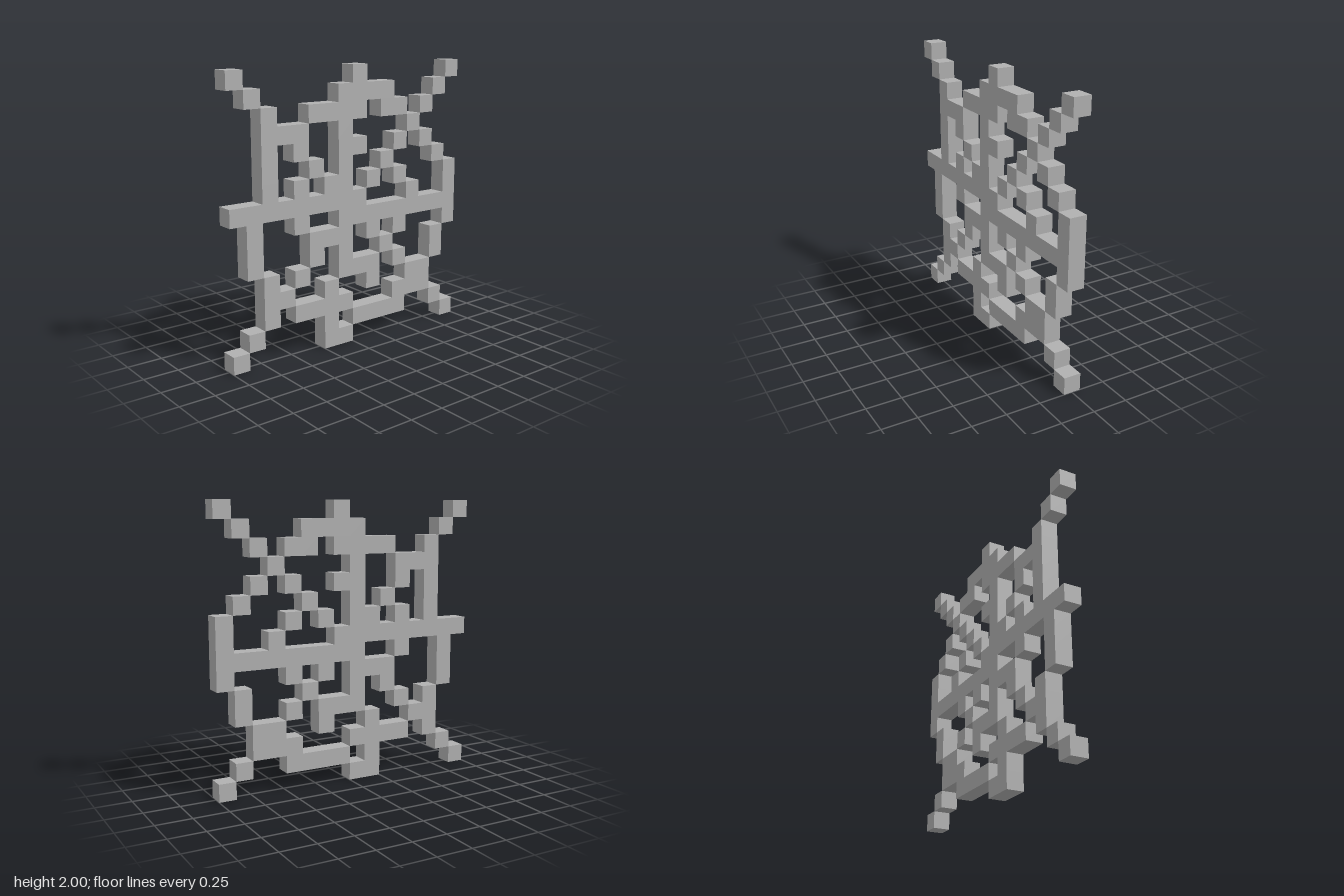
import * as THREE from 'three';
import { mergeGeometries } from 'three/addons/utils/BufferGeometryUtils.js';

// Cell map of the lattice, top row first, seen from the front
const ROWS = [
  '#.......#......#',
  '.#.....####...#.',
  '..#..####.##.#..',
  '..###..#....#...',
  '..#.#..##..#.#..',
  '..#..#.#..#...#.',
  '..#.#.##.#.#...#',
  '#########...#..#',
  '.#..#..#########',
  '.#...###.#.#...#',
  '.#...#.#..#...#.',
  '..#.#..###.#..#.',
  '..##..#..#..##..',
  '..#.####...###..',
  '.#....#.####..#.',
  '#.....##.......#',
];
const N = 16, S = 2 / N, H = S / 2;
const filled = (r, c) => ROWS[r]?.[c] === '#';

export function createModel() {
  const group = new THREE.Group();
  group.name = 'pixelLattice';
  const grey = new THREE.MeshStandardMaterial({ color: 0xb0b0b0 });
  grey.name = 'grey';

  // Only the exposed faces of each cube, so the bars join without inner walls
  const faces = [];
  const addFace = (x, y, rx, ry) => {
    const face = new THREE.PlaneGeometry(S, S);
    face.translate(0, 0, H).rotateX(rx).rotateY(ry).translate(x, y, 0);
    faces.push(face);
  };
  for (let r = 0; r < N; r++) {
    for (let c = 0; c < N; c++) {
      if (!filled(r, c)) continue;
      const x = -1 + (c + 0.5) * S, y = 2 - (r + 0.5) * S;
      addFace(x, y, 0, 0);
      addFace(x, y, 0, Math.PI);
      if (!filled(r, c + 1)) addFace(x, y, 0, Math.PI / 2);
      if (!filled(r, c - 1)) addFace(x, y, 0, -Math.PI / 2);
      if (!filled(r - 1, c)) addFace(x, y, -Math.PI / 2, 0);
      if (!filled(r + 1, c)) addFace(x, y, Math.PI / 2, 0);
    }
  }
  const lattice = new THREE.Mesh(mergeGeometries(faces), grey);
  lattice.name = 'lattice';
  group.add(lattice);
  return group;
}
